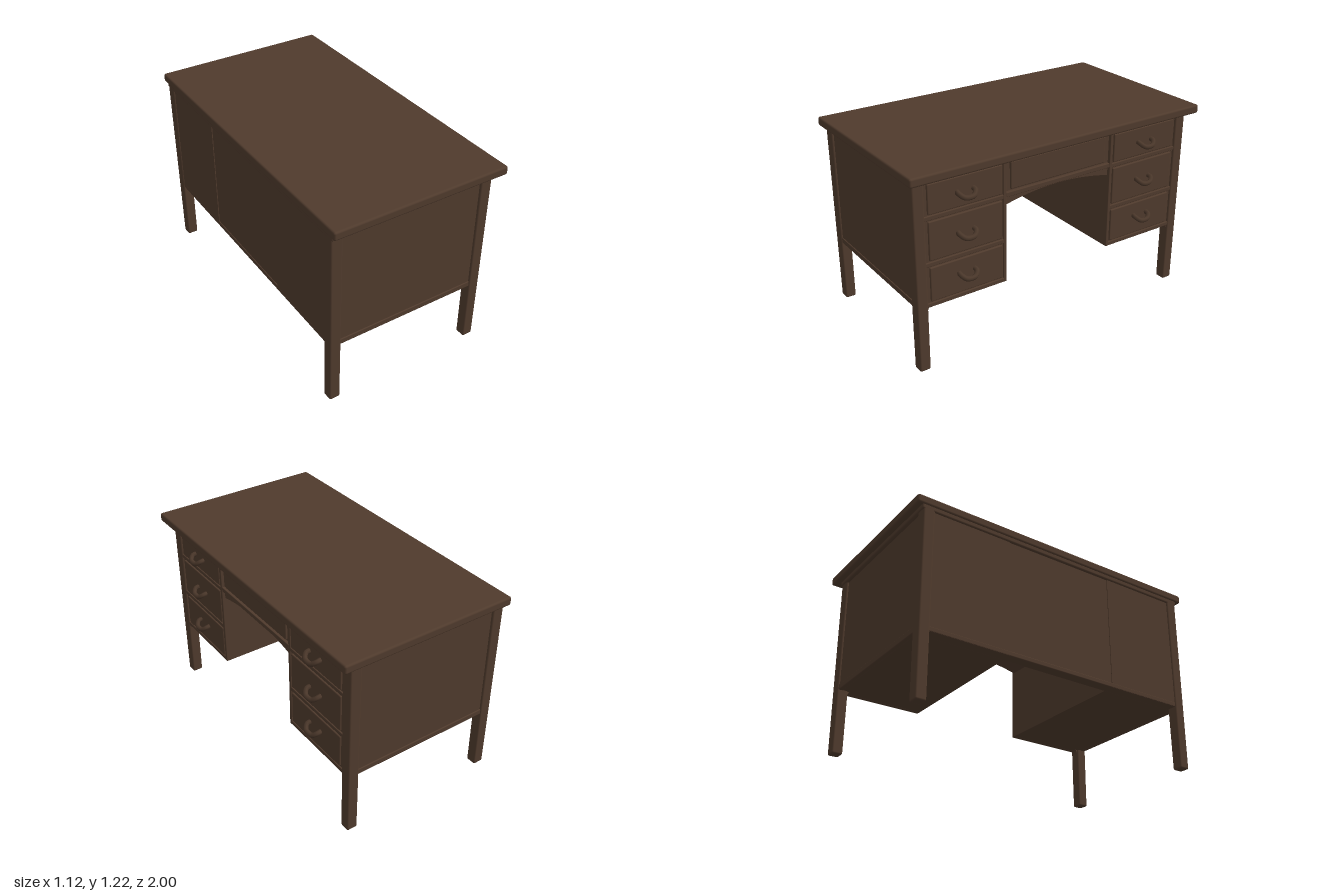
import * as THREE from 'three';
import { RoundedBoxGeometry } from 'three/addons/geometries/RoundedBoxGeometry.js';

export function createModel() {
  const desk = new THREE.Group();
  desk.name = 'desk';
  const wood = new THREE.MeshStandardMaterial({ color: 0x503b2d });
  wood.name = 'brown wood';
  const pull = new THREE.MeshStandardMaterial({ color: 0x4a372a });
  pull.name = 'dark wood';

  const add = (name, geometry, material = wood) => {
    const mesh = new THREE.Mesh(geometry, material);
    mesh.name = name;
    desk.add(mesh);
    return mesh;
  };
  // Box given by its limits on each axis, with optional rounded edges
  const block = (name, [x0, x1], [y0, y1], [z0, z1], r = 0) => {
    const size = [x1 - x0, y1 - y0, z1 - z0];
    const geo = r ? new RoundedBoxGeometry(...size, 2, r) : new THREE.BoxGeometry(...size);
    geo.translate((x0 + x1) / 2, (y0 + y1) / 2, (z0 + z1) / 2);
    return add(name, geo);
  };
  // Limits on z, mirrored for the other end of the desk
  const span = (side, a, b) => (side > 0 ? [a, b] : [-b, -a]);

  // Table top with a thin moulding beneath
  block('tableTop', [-0.56, 0.56], [1.167, 1.22], [-1, 1], 0.012);
  block('topMoulding', [-0.552, 0.495], [1.14, 1.175], [-0.965, 0.965], 0.01);

  // Back panel, its raised end panels and the bottom rail
  block('backPanel', [-0.537, -0.5], [0.4, 1.165], [-0.9, 0.9]);
  block('backBottomRail', [-0.543, -0.47], [0.4, 0.43], [-0.9, 0.9], 0.006);

  for (const s of [1, -1]) {
    block('pedestal', [-0.53, 0.478], [0.402, 1.165], span(s, 0.37, 0.943));
    block('backEndPanel', [-0.542, -0.53], [0.402, 1.165], span(s, 0.372, 0.9));
    block('sideBottomRail', [-0.5, 0.45], [0.4, 0.435], span(s, 0.92, 0.949), 0.005);

    // Legs running the full height, slightly narrower at the foot
    for (const x of [-0.515, 0.455]) {
      const geo = new RoundedBoxGeometry(0.072, 1.17, 0.07, 2, 0.01);
      const p = geo.attributes.position;
      for (let i = 0; i < p.count; i++) {
        const k = p.getY(i) < 0 ? 0.94 : 1.02;
        p.setX(i, p.getX(i) * k);
        p.setZ(i, p.getZ(i) * k);
      }
      add('leg', geo).position.set(x, 0.585, s * 0.921);
    }

    // Small curved brackets where the legs meet the body
    const curve = new THREE.Shape();
    curve.moveTo(0, 0);
    curve.lineTo(0.03, 0);
    curve.quadraticCurveTo(0, 0, 0, -0.035);
    const bracket = new THREE.ExtrudeGeometry(curve, { depth: 0.05, bevelEnabled: false });
    bracket.rotateY(s > 0 ? Math.PI / 2 : -Math.PI / 2);
    add('legBracket', bracket).position.set(s > 0 ? 0.43 : 0.48, 0.405, s * 0.887);

    // Pedestal frame around the drawers
    block('innerStile', [0.46, 0.488], [0.4, 1.165], span(s, 0.37, 0.39), 0.004);
    for (const y of [0.4, 0.65, 0.925, 1.14]) {
      block('drawerRail', [0.46, 0.487], [y, y + 0.025], span(s, 0.375, 0.9), 0.004);
    }

    // Three drawers with drooping pulls
    const drawers = [[0.433, 0.642, 0.54], [0.684, 0.917, 0.79], [0.957, 1.133, 1.03]];
    for (const [y0, y1, handleY] of drawers) {
      block('drawerFront', [0.46, 0.489], [y0, y1], span(s, 0.398, 0.866), 0.006);
      const path = new THREE.CatmullRomCurve3([
        [0.48, 0.017, -0.05], [0.51, 0.012, -0.052], [0.532, -0.006, -0.03],
        [0.536, -0.01, 0], [0.532, -0.006, 0.03], [0.51, 0.012, 0.052], [0.48, 0.017, 0.05],
      ].map((v) => new THREE.Vector3(...v)));
      add('drawerPull', new THREE.TubeGeometry(path, 20, 0.015, 7), pull)
        .position.set(0, handleY, s * 0.635);
    }
  }

  // Arched body above the knee space
  const arch = new THREE.Shape();
  arch.moveTo(-0.37, 1.165);
  arch.lineTo(-0.37, 0.875);
  arch.quadraticCurveTo(0, 0.965, 0.37, 0.875);
  arch.lineTo(0.37, 1.165);
  const archGeo = new THREE.ExtrudeGeometry(arch, { depth: 0.965, bevelEnabled: false, curveSegments: 12 });
  archGeo.rotateY(-Math.PI / 2);
  add('kneeSpaceArch', archGeo).position.x = 0.468;

  // Centre drawer with its rails
  block('centreDrawer', [0.45, 0.481], [0.968, 1.132], [-0.335, 0.335], 0.006);
  block('centreTopRail', [0.45, 0.487], [1.14, 1.165], [-0.37, 0.37], 0.004);
  block('centreBottomRail', [0.45, 0.487], [0.93, 0.958], [-0.37, 0.37], 0.004);
  return desk;
}
